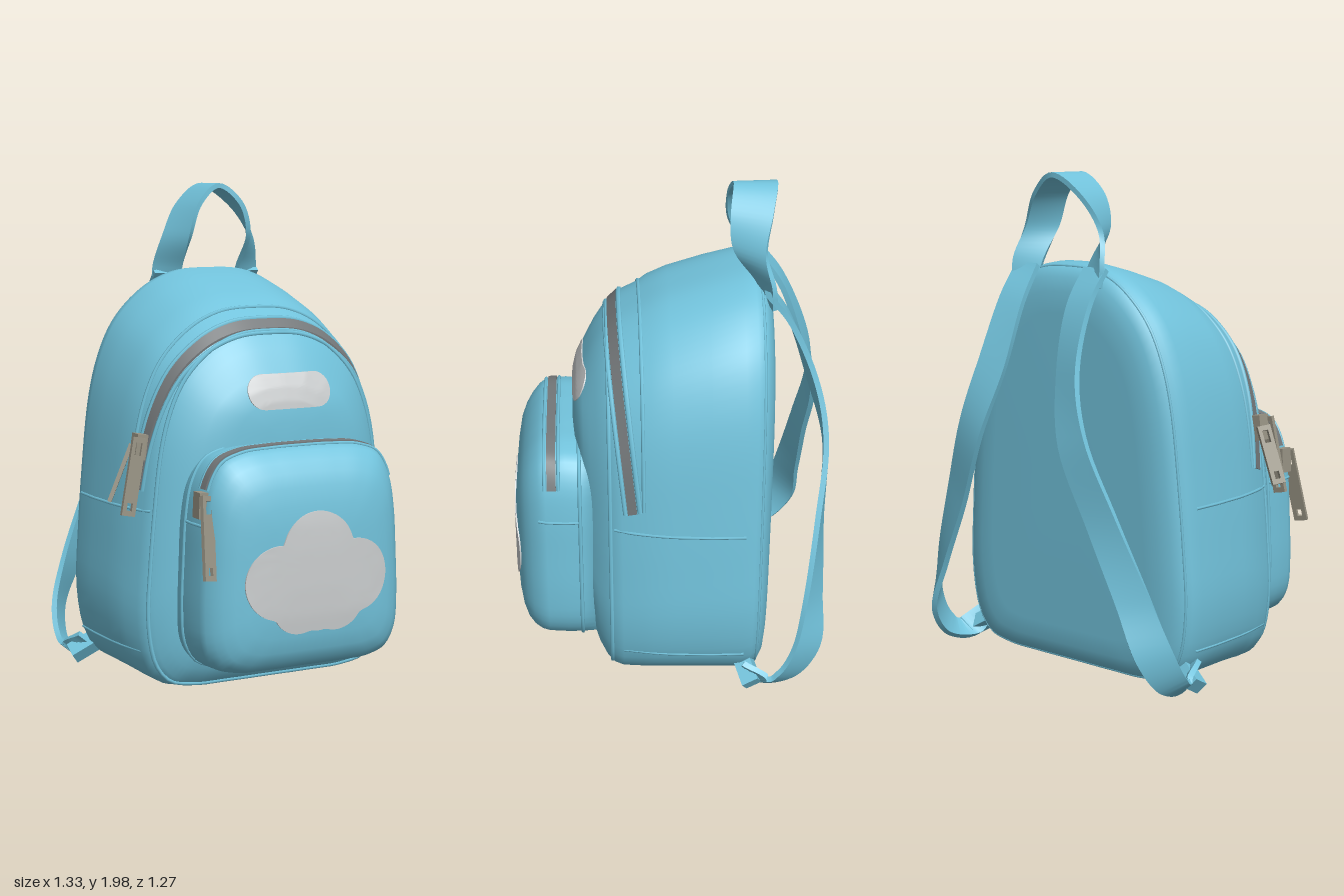
import * as THREE from 'three';
import { toCreasedNormals } from 'three/addons/utils/BufferGeometryUtils.js';

const V = (x, y, z) => new THREE.Vector3(x, y, z);
const mat = (name, color, side = THREE.FrontSide) => {
  const m = new THREE.MeshStandardMaterial({ color, side });
  m.name = name;
  return m;
};

// Skin over rows of points; each row is a closed loop
function grid(rows, crease) {
  const n = rows[0].length, idx = [];
  for (let i = 0; i < rows.length - 1; i++) {
    for (let j = 0; j < n; j++) {
      const a = i * n + j, b = i * n + (j + 1) % n;
      idx.push(a, b, a + n, b, b + n, a + n);
    }
  }
  const g = new THREE.BufferGeometry().setFromPoints(rows.flat());
  g.setIndex(idx);
  g.computeVertexNormals();
  return crease ? toCreasedNormals(g, 0.7) : g;
}

const collapse = (row) => {
  const c = row.reduce((s, p) => s.add(p), V(0, 0, 0)).divideScalar(row.length);
  return row.map(() => c.clone());
};
const capped = (rows) => [collapse(rows[0]), ...rows, collapse(rows[rows.length - 1])];

// A padded shape: unit half outline, scaled by sections [z, halfWidth, yBottom, yTop]
function padded(half, sections) {
  const pts = half.map(([x, y]) => V(x, y, 0));
  const left = half.slice(1, -1).reverse().map(([x, y]) => V(-x, y, 0));
  const outline = new THREE.CatmullRomCurve3([...pts, ...left], true).getSpacedPoints(128).slice(0, 128);
  const section = (z) => {
    let i = 0;
    while (i < sections.length - 2 && sections[i + 1][0] < z) i++;
    const a = sections[i], b = sections[i + 1];
    const t = THREE.MathUtils.clamp((z - a[0]) / (b[0] - a[0]), 0, 1);
    return a.map((v, k) => v + (b[k] - v) * t);
  };
  const point = (j, z, lift = 0) => {
    const [, w, y0, y1] = section(z);
    const at = (k) => {
      const p = outline[(k + 128) % 128];
      return V(p.x * w, y0 + p.y * (y1 - y0), z);
    };
    const d = at(j + 1).sub(at(j - 1)).normalize();
    const p = at(j).add(V(d.y * lift, -d.x * lift, 0));
    // The back panel leans: its foot sits further forward than its top
    p.z += 0.1 * Math.max(0, -z - 0.2) * (1.5 - p.y);
    return p;
  };
  const halfWidth = (y, z) => {
    const [, w, y0, y1] = section(z), v = (y - y0) / (y1 - y0);
    if (v <= 0 || v >= 1) return 0;
    let i = 0;
    while (i < half.length - 2 && half[i + 1][1] < v) i++;
    const a = half[i], b = half[i + 1];
    return w * (a[0] + (b[0] - a[0]) * (v - a[1]) / Math.max(b[1] - a[1], 1e-6));
  };
  const frontZ = (x, y) => {
    let lo = 0.2, hi = sections[sections.length - 1][0];
    for (let i = 0; i < 24; i++) {
      const m = (lo + hi) / 2;
      if (Math.abs(x) < halfWidth(y, m)) lo = m; else hi = m;
    }
    return lo;
  };
  const ids = outline.map((_, j) => j);
  return {
    point, halfWidth, frontZ, outline,
    above: (v) => ids.filter((j) => outline[j].y >= v && j > 0),
    geometry: () => grid(capped(sections.map(([z]) => ids.map((j) => point(j, z)))))
  };
}

// Flat band lying on a padded shape, over the top down to height v
function band(s, v, zAt, h, lift) {
  return grid(capped(s.above(v).map((j) => {
    const z = zAt(s.outline[j].y);
    return [[h, -0.01], [h, lift], [-h, lift], [-h, -0.01]].map(([dz, l]) => s.point(j, z + dz, l));
  })), true);
}

function piping(s, v, zAt, r) {
  const closed = v === 0;
  const ids = closed ? s.outline.map((_, j) => j) : s.above(v);
  const curve = new THREE.CatmullRomCurve3(ids.map((j) => s.point(j, zAt(s.outline[j].y))), closed);
  return new THREE.TubeGeometry(curve, 120, r, 6, closed);
}

// Webbing along rows of [x, y, z, half width vector x, y, z]
function ribbon(rows, t) {
  const path = new THREE.CatmullRomCurve3(rows.map((r) => V(r[0], r[1], r[2])));
  const wide = new THREE.CatmullRomCurve3(rows.map((r) => V(r[3], r[4], r[5])));
  const loops = [];
  for (let i = 0; i <= 60; i++) {
    const c = path.getPoint(i / 60), w = wide.getPoint(i / 60);
    const n = path.getTangent(i / 60).cross(w).normalize().multiplyScalar(t);
    loops.push([[-1, -1], [1, -1], [1, 1], [-1, 1]].map(([a, b]) => c.clone().addScaledVector(w, a).addScaledVector(n, b)));
  }
  return grid(capped(loops), true);
}

// Thin patch hugging the front of a padded shape; radius(angle) gives its outline
function patch(s, cx, cy, radius) {
  const rows = [];
  for (let k = 0; k <= 9; k++) {
    const f = Math.min(k / 8, 1), row = [];
    for (let j = 0; j < 96; j++) {
      const a = -j / 96 * Math.PI * 2, r = radius(a) * f;
      const x = cx + Math.cos(a) * r, y = cy + Math.sin(a) * r;
      row.push(V(x, y, s.frontZ(x, y) + (k > 8 ? -0.002 : 0.006)));
    }
    rows.push(row);
  }
  return grid(rows.reverse().map((r) => r.reverse()), true);
}

export function createModel() {
  const model = new THREE.Group();
  model.name = 'backpack';
  const blue = mat('blue fabric', 0x72c3dc), zipGrey = mat('zip grey', 0x74787a);
  const metal = mat('pull metal', 0x989384), pale = mat('pale patch', 0xcbcecf, THREE.DoubleSide);
  const add = (name, geometry, material = blue, parent = model) => {
    const m = new THREE.Mesh(geometry, material);
    m.name = name;
    parent.add(m);
    return m;
  };

  // Main body with a domed front panel
  const body = padded(
    [[0, 0], [0.35, 0], [0.65, 0.003], [0.85, 0.025], [0.955, 0.085], [1, 0.2], [0.98, 0.35], [0.945, 0.5],
      [0.895, 0.66], [0.835, 0.76], [0.72, 0.86], [0.51, 0.945], [0.275, 0.99], [0, 1]],
    [[-0.408, 0.42, 0.18, 1.45], [-0.402, 0.49, 0.11, 1.535], [-0.388, 0.545, 0.07, 1.592], [-0.365, 0.58, 0.045, 1.628],
      [-0.33, 0.603, 0.035, 1.645], [-0.28, 0.614, 0.03, 1.648], [-0.15, 0.614, 0.035, 1.615], [0, 0.603, 0.035, 1.57],
      [0.08, 0.59, 0.03, 1.535], [0.12, 0.58, 0.025, 1.505], [0.2, 0.56, 0.02, 1.467], [0.235, 0.54, 0.025, 1.437],
      [0.265, 0.513, 0.05, 1.4], [0.295, 0.478, 0.1, 1.357], [0.32, 0.44, 0.17, 1.31], [0.345, 0.39, 0.4, 1.26],
      [0.365, 0.32, 0.62, 1.215], [0.38, 0.23, 0.8, 1.16], [0.388, 0.1, 0.92, 1.08]]);
  add('body', body.geometry());
  add('backPiping', piping(body, 0, () => -0.355, 0.006));
  add('frontPiping', piping(body, 0, () => 0.245, 0.009));

  // Main zip and its flap edges
  const zipZ = (v) => 0.08 + 0.145 * v;
  add('mainZip', band(body, 0.545, zipZ, 0.018, 0.008), zipGrey);
  add('zipEdgeFront', piping(body, 0.54, (v) => zipZ(v) + 0.027, 0.009));
  add('zipEdgeBack', piping(body, 0.54, (v) => zipZ(v) - 0.03, 0.011));
  add('flapEdge', piping(body, 0.54, () => 0.115, 0.008));

  // Front pocket
  const pocket = padded(
    [[0, 0], [0.4, 0], [0.7, 0.008], [0.89, 0.05], [0.98, 0.14], [1, 0.28], [0.985, 0.5], [0.96, 0.7],
      [0.91, 0.84], [0.8, 0.94], [0.6, 0.985], [0.3, 0.998], [0, 1]],
    [[0.28, 0.44, 0.135, 0.99], [0.36, 0.442, 0.13, 1.0], [0.42, 0.443, 0.13, 1.008], [0.5, 0.436, 0.133, 1.005],
      [0.53, 0.425, 0.138, 0.985], [0.56, 0.402, 0.152, 0.95], [0.585, 0.375, 0.178, 0.91], [0.605, 0.335, 0.22, 0.86],
      [0.618, 0.285, 0.28, 0.79], [0.626, 0.22, 0.36, 0.72], [0.629, 0.1, 0.47, 0.62]]);
  add('pocket', pocket.geometry());
  add('pocketPiping', piping(pocket, 0, () => 0.365, 0.008));
  add('pocketZip', band(pocket, 0.81, () => 0.475, 0.018, 0.007), zipGrey);
  for (const z of [0.447, 0.503]) add('pocketZipEdge', piping(pocket, 0.8, () => z, 0.007));

  // Side seams
  const seam = (s, sign, y, z0, z1) => {
    const pts = [];
    for (let i = 0; i <= 8; i++) {
      const z = z0 + (z1 - z0) * i / 8;
      pts.push(V(sign * s.halfWidth(y, z), y, z));
    }
    add('sideSeam', new THREE.TubeGeometry(new THREE.CatmullRomCurve3(pts), 24, 0.006, 5));
  };
  for (const s of [-1, 1]) {
    seam(body, s, 0.74, -0.28, 0.23);
    seam(body, s, 0.18, -0.28, 0.2);
    seam(pocket, s, 0.72, 0.37, 0.53);
  }

  // Name plate and cloud patch
  add('labelPlate', patch(body, 0.03, 1.197, (a) => {
    const c = Math.abs(Math.cos(a)), n = Math.abs(Math.sin(a)), r = 0.068, l = 0.118;
    if (n > 0 && r / n * c <= l) return r / n;
    return l * c + Math.sqrt(Math.max(0, r * r - l * l * n * n));
  }), pale);
  const lobes = [[0, 0.1, 0.155], [-0.165, -0.01, 0.145], [0.165, -0.01, 0.145], [-0.08, -0.1, 0.118],
    [0.08, -0.1, 0.118], [0, -0.07, 0.143]];
  add('cloudPatch', patch(pocket, 0.01, 0.51, (a) => Math.max(...lobes.map(([x, y, r]) => {
    const b = x * Math.cos(a) + y * Math.sin(a), d = b * b - x * x - y * y + r * r;
    return d < 0 ? 0 : b + Math.sqrt(d);
  }))), pale);

  // Carry handle
  const leg = [[0.18, 1.56, -0.39, 0.055, 0, -0.01], [0.185, 1.65, -0.365, 0.055, 0, -0.03],
    [0.168, 1.78, -0.305, 0.034, 0, -0.06], [0.108, 1.91, -0.315, 0.012, 0, -0.08]];
  const flip = ([x, y, z, a, b, c]) => [-x, y, z, -a, b, c];
  const loop = [...leg, [0, 1.985, -0.335, 0, 0, -0.085], ...leg.map(flip).reverse()];
  add('carryHandle', ribbon(loop, 0.01)).position.x = 0.03;

  // Shoulder straps and their lower anchors
  const strap = [[0.185, 1.63, -0.37, 0.058, 0, 0], [0.182, 1.5, -0.462, 0.06, 0.01, 0], [0.205, 1.25, -0.557, 0.06, 0.015, -0.01],
    [0.275, 1.0, -0.613, 0.06, 0.025, 0.005], [0.4, 0.7, -0.587, 0.058, 0.025, 0.015], [0.525, 0.42, -0.56, 0.052, 0.02, 0.035],
    [0.6, 0.22, -0.532, 0.042, 0.02, 0.055], [0.618, 0.1, -0.455, 0.035, 0.025, 0.042], [0.61, 0.065, -0.37, 0.035, 0.03, 0],
    [0.575, 0.12, -0.28, 0.035, 0.03, 0]];
  for (const s of [-1, 1]) {
    const rows = strap.map(([x, y, z, a, b, c]) => [s * x + 0.018 * y, y, z, s * a, b, c]);
    add(s > 0 ? 'leftStrap' : 'rightStrap', ribbon(rows, 0.011));
    const anchor = add('strapAnchor', new THREE.BoxGeometry(0.11, 0.055, 0.07));
    anchor.position.set(s * 0.58, 0.085, -0.3);
    anchor.rotation.set(0.5, 0, s * -0.6);
  }

  // Zip pulls: a slider block with a slotted tab hanging from it
  const tab = (length) => {
    const box = (x, y0, y1, P) => new P([[-x, y0], [x, y0], [x, y1], [-x, y1]].map(([a, b]) => new THREE.Vector2(a, b)));
    const shape = box(0.028, -length, 0, THREE.Shape);
    shape.holes.push(box(0.011, -length + 0.02, -length + 0.05, THREE.Path), box(0.013, -0.07, -0.02, THREE.Path));
    return new THREE.ExtrudeGeometry(shape, { depth: 0.016, bevelEnabled: false }).translate(0, 0, -0.008);
  };
  const pull = (name, from, to, spin) => {
    const dir = to.clone().sub(from);
    const m = add(name, tab(dir.length()).rotateY(spin), metal);
    m.position.copy(from);
    m.quaternion.setFromUnitVectors(V(0, -1, 0), dir.normalize());
  };
  const slider = (name, x, y, z, tilt) => {
    const m = add(name, new THREE.BoxGeometry(0.045, 0.1, 0.055), metal);
    m.position.set(x, y, z);
    m.rotation.z = tilt;
  };
  slider('mainSlider', -0.535, 0.99, 0.175, -0.15);
  pull('mainPullFront', V(-0.545, 1.03, 0.205), V(-0.605, 0.73, 0.22), 0);
  pull('mainPullBack', V(-0.56, 1.0, 0.16), V(-0.65, 0.78, 0.15), 1.1);
  slider('pocketSlider', -0.415, 0.8, 0.48, -0.05);
  pull('pocketPull', V(-0.41, 0.84, 0.515), V(-0.435, 0.53, 0.59), 0.3);

  return model;
}
